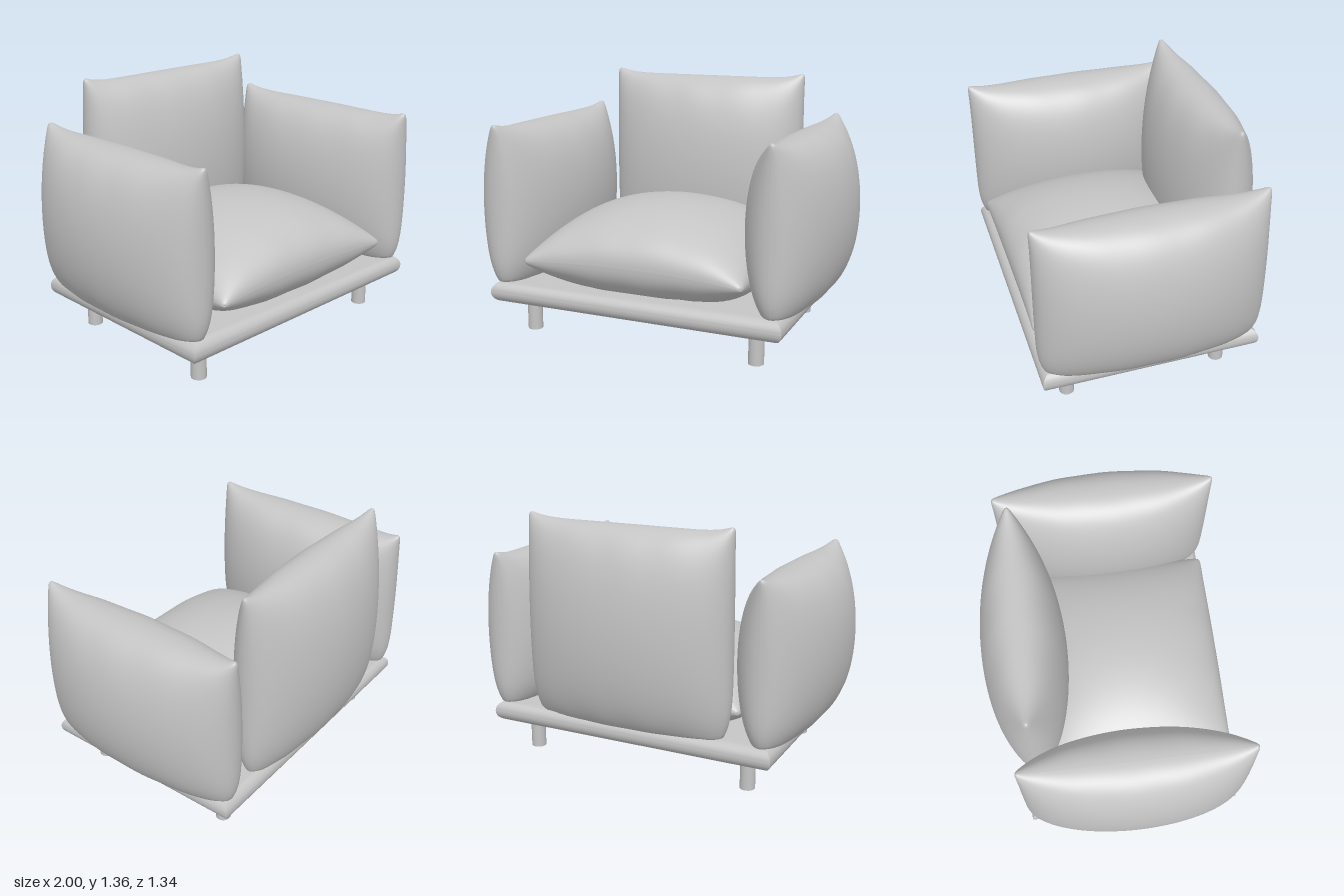
import * as THREE from 'three';
import { mergeGeometries, toCreasedNormals } from 'three/addons/utils/BufferGeometryUtils.js';

const fabric = new THREE.MeshStandardMaterial({ color: 0xc4c4c4 });
fabric.name = 'light grey';

// Two bulging sheets joined at a seam; the underside rests flat on the platform.
// hw, hh: half width and height; bulge: half thickness; ear: how far corners rise
function cushion(name, { hw, hh, bulge, ear, tuck = 0, sag = 0, matrix, floor }) {
  const sheets = [1, -1].map((side) => {
    const g = new THREE.PlaneGeometry(2, 2, 56, 56);
    const p = g.attributes.position;
    const v3 = new THREE.Vector3();
    for (let i = 0; i < p.count; i++) {
      const a = p.getX(i) * Math.PI / 2, b = p.getY(i) * Math.PI / 2;
      const u = Math.sin(a), v = Math.sin(b);
      const full = Math.max(0, Math.cos(a) * Math.cos(b));
      // slightly rounded corner tips and tucked-in bottom corners
      const tip = 1 - 0.025 * Math.pow(u * v, 40);
      const low = v < 0 ? 1 - tuck * Math.pow(v, 6) : 1;
      const x = hw * u * tip * low * (1 - 0.012 * (1 - Math.pow(v, 6)));
      const y = (hh * v + ear * Math.sign(v) * Math.pow(v, 4) * (Math.pow(u, 8) - 1)) * tip;
      // soft folds that fade out towards the middle
      const fold = 0.006 * Math.sin(13 * u + 2 * v + side) * Math.pow(v, 4) * full;
      const z = bulge * Math.pow(full, 0.92) + fold;
      v3.set(side * x, y, z * side - sag * u * u);
      v3.applyMatrix4(matrix);
      v3.y = Math.max(v3.y, floor);
      p.setXYZ(i, v3.x, v3.y, v3.z);
    }
    g.computeVertexNormals();
    return g;
  });
  const mesh = new THREE.Mesh(mergeGeometries(sheets), fabric);
  mesh.name = name;
  return mesh;
}

function place(x, y, z, rx = 0, ry = 0) {
  return new THREE.Matrix4()
    .makeRotationFromEuler(new THREE.Euler(rx, ry, 0))
    .setPosition(x, y, z);
}

export function createModel() {
  const chair = new THREE.Group();
  chair.name = 'armchair';

  // Platform: a slab with a half-round rim and mitred corners
  const r = 0.056, hx = 0.815 - r, hz = 0.585 - r;
  const outline = new THREE.Shape([
    new THREE.Vector2(-hx, -hz), new THREE.Vector2(hx, -hz),
    new THREE.Vector2(hx, hz), new THREE.Vector2(-hx, hz),
  ]);
  const slab = new THREE.ExtrudeGeometry(outline, {
    depth: 0.004, bevelEnabled: true, bevelThickness: r, bevelSize: r, bevelSegments: 10,
  });
  slab.rotateX(-Math.PI / 2).translate(0, 0.17 + r, 0.07);
  const platform = new THREE.Mesh(toCreasedNormals(slab, 0.6), fabric);
  platform.name = 'platform';
  chair.add(platform);

  // Legs
  for (const x of [-0.64, 0.64]) {
    for (const z of [0.495, -0.355]) {
      const leg = new THREE.Mesh(new THREE.CylinderGeometry(0.04, 0.04, 0.18, 32), fabric);
      leg.position.set(x, 0.09, z);
      leg.name = 'leg';
      chair.add(leg);
    }
  }

  // Arm cushions
  for (const [name, s] of [['leftArm', 1], ['rightArm', -1]]) {
    chair.add(cushion(name, {
      hw: 0.605, hh: 0.475, bulge: 0.25, ear: 0.035, tuck: 0.2,
      matrix: place(s * 0.75, 0.675, 0.068, 0, s * Math.PI / 2), floor: 0.286,
    }));
  }

  // Back cushion
  chair.add(cushion('backCushion', {
    hw: 0.585, hh: 0.585, bulge: 0.23, ear: 0.038, tuck: 0.2,
    matrix: place(0, 0.785, -0.443), floor: 0.286,
  }));

  // Seat cushion
  chair.add(cushion('seatCushion', {
    hw: 0.615, hh: 0.54, bulge: 0.27, ear: 0.006, sag: 0.03,
    matrix: place(0, 0.45, 0.11, -Math.PI / 2), floor: 0.29,
  }));

  return chair;
}
